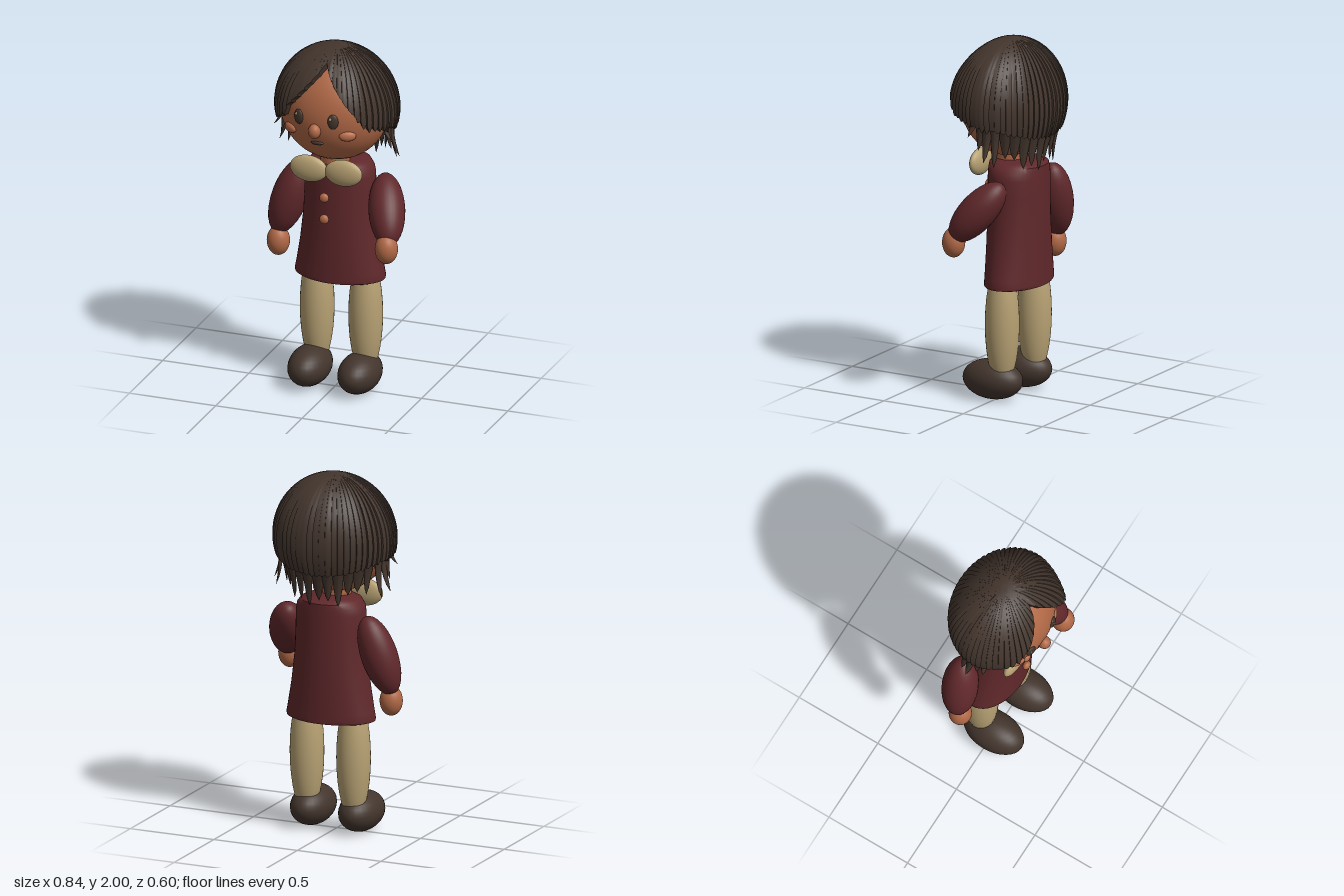
import * as THREE from 'three';
import { toCreasedNormals } from 'three/addons/utils/BufferGeometryUtils.js';

const mat = (name, color) => Object.assign(new THREE.MeshStandardMaterial({ color }), { name });

export function createModel() {
  const model = new THREE.Group();
  const skin = mat('skin', 0xb06846);
  const blush = mat('blush', 0xba6c4b);
  const jacket = mat('jacketRed', 0x60282b);
  const tan = mat('tan', 0xb8a274);
  const dark = mat('darkBrown', 0x43352d);

  let seed = 7;
  const rand = () => (seed = (seed * 16807) % 2147483647) / 2147483647;

  const add = (name, geometry, material) => {
    const mesh = new THREE.Mesh(geometry, material);
    mesh.name = name;
    model.add(mesh);
    return mesh;
  };
  const ball = (name, material, [x, y, z], [rx, ry, rz], seg = 32) => {
    const mesh = add(name, new THREE.SphereGeometry(1, seg, seg / 2), material);
    mesh.position.set(x, y, z);
    mesh.scale.set(rx, ry, rz);
    return mesh;
  };

  // Shoes and legs
  ball('rightShoe', dark, [-0.14, 0.11, 0.015], [0.113, 0.11, 0.18]);
  ball('leftShoe', dark, [0.152, 0.11, 0.022], [0.113, 0.11, 0.178]);
  ball('rightLeg', tan, [-0.132, 0.43, -0.07], [0.094, 0.36, 0.094]);
  ball('leftLeg', tan, [0.16, 0.43, -0.042], [0.094, 0.36, 0.094]);

  // Jacket body: flares sideways towards the hem, nearly constant depth
  const profile = [[0, 0.66], [0.2, 0.653], [0.24, 0.636], [0.255, 0.64], [0.257, 0.655], [0.25, 0.69],
    [0.226, 0.83], [0.206, 1], [0.199, 1.15], [0.198, 1.24], [0.19, 1.28], [0.168, 1.308], [0.13, 1.324], [0, 1.328]];
  const body = new THREE.LatheGeometry(profile.map(([r, y]) => new THREE.Vector2(r, y)), 48);
  const bp = body.attributes.position;
  for (let i = 0; i < bp.count; i++) {
    const r = Math.hypot(bp.getX(i), bp.getZ(i));
    if (r > 0.158) bp.setZ(i, bp.getZ(i) * 0.158 / r);
  }
  body.deleteAttribute('normal');
  add('jacketBody', toCreasedNormals(body, 0.8), jacket).position.set(0.008, 0, -0.057);

  const neck = add('neck', new THREE.CylinderGeometry(0.08, 0.08, 0.1, 24), skin);
  neck.position.set(0, 1.36, 0);

  // Arms: long ellipsoids pointing along a direction, each with a hand
  const arm = (side, centre, dir, length, radius, hand) => {
    const sleeve = ball(side + 'Sleeve', jacket, centre, [radius, length, radius]);
    sleeve.quaternion.setFromUnitVectors(new THREE.Vector3(0, -1, 0), new THREE.Vector3(...dir).normalize());
    ball(side + 'Hand', skin, hand, [0.063, 0.084, 0.063]);
  };
  arm('left', [0.308, 1.083, 0.025], [0.115, -0.315, 0.25], 0.21, 0.1, [0.353, 0.907, 0.148]);
  arm('right', [-0.3, 1.03, -0.1], [-0.13, -0.4, 0.04], 0.228, 0.1, [-0.355, 0.775, -0.065]);

  // Collar lobes and buttons
  for (const s of [-1, 1]) {
    const lobe = ball('collarLobe', tan, [s * 0.101 - 0.003, 1.305, 0.13], [0.108, 0.076, 0.036]);
    lobe.rotation.z = s * 0.04;
  }
  for (const y of [1.15, 1.025]) ball('button', skin, [-0.01, y, 0.143], [0.027, 0.027, 0.02], 16);

  // Head and face, features sit on the head's front surface
  const faceZ = (x, y) => 0.26 * Math.sqrt(1 - (x / 0.305) ** 2 - ((y - 1.645) / 0.3) ** 2);
  const feature = (name, material, x, y, rx, ry, rz, lift = 0) => {
    const part = ball(name, material, [x, y, faceZ(x, y) + lift], [rx, ry, rz], 20);
    part.rotation.y = Math.atan2(x * 0.7, faceZ(x, y));
  };
  ball('head', skin, [0, 1.645, 0], [0.305, 0.303, 0.26], 48);
  for (const x of [-0.12, 0.083]) {
    feature('eye', dark, x, 1.647, 0.03, 0.043, 0.014);
    feature('eyeHighlight', tan, x - 0.01, 1.665, 0.007, 0.009, 0.005, 0.014);
  }
  feature('nose', skin, -0.02, 1.582, 0.035, 0.042, 0.036, 0.008);
  feature('mouth', dark, -0.017, 1.503, 0.037, 0.012, 0.012);
  feature('cheek', blush, -0.185, 1.556, 0.047, 0.029, 0.02);
  feature('cheek', blush, 0.153, 1.56, 0.047, 0.029, 0.02);

  // Hair cap: ellipsoid shell of ridged strips, its hem parted over the forehead
  const C = { x: 0.008, y: 1.645, z: -0.01, rx: 0.347, ry: 0.352, rz: 0.288 };
  const hemTable = [[0, 1.945], [10, 1.875], [26, 1.76], [40, 1.67], [50, 1.62], [80, 1.58],
    [110, 1.555], [150, 1.5], [180, 1.485]];
  const hemY = (deg) => {
    const d = Math.abs(deg > 180 ? deg - 360 : deg);
    const k = Math.max(1, hemTable.findIndex(([a]) => a >= d));
    const [[a, ya], [b, yb]] = [hemTable[k - 1], hemTable[k]];
    return THREE.MathUtils.lerp(ya, yb, (d - a) / (b - a));
  };
  const strips = 60, perStrip = 5, rows = 22;
  const cols = strips * perStrip;
  const stripDepth = Array.from({ length: strips }, () => 0.15 + rand() * 0.85);
  const pos = [], index = [];
  for (let i = 0; i <= cols; i++) {
    const c = i % cols, strip = Math.floor(c / perStrip), u = (c % perStrip) / (perStrip - 1);
    // sawtooth strips: the last column of a strip drops to the next one's start
    const phi = (i + (u === 1 ? 0.7 : 0)) / cols * Math.PI * 2;
    const deg = c / cols * 360;
    const away = Math.min(deg, 360 - deg);
    const jag = away < 38 ? 0 : away < 100 ? 0.04 : 0.015;
    const tooth = jag * stripDepth[strip] * Math.sin(Math.PI * u);
    const end = Math.acos((hemY(deg) - tooth - C.y) / C.ry);
    // the curtains beside the parting swell forward, the left one more
    const swell = (deg < 180 ? 0.15 : 0.06) * Math.exp(-(((away - 38) / 24) ** 2));
    for (let j = 0; j <= rows + 1; j++) {
      const th = end * Math.min(j, rows) / rows;
      const groove = 0.034 * stripDepth[strip] * u * u * Math.min(1, th * th);
      const k = j > rows ? 0.82 : 1.006 - groove;
      const bulge = j > rows ? 1 : 1 + swell * Math.sin(th) ** 2;
      pos.push(C.x + C.rx * k * Math.sin(th) * Math.sin(phi),
        C.y + C.ry * k * Math.cos(th),
        C.z + C.rz * k * bulge * Math.sin(th) * Math.cos(phi));
      if (i < cols && j <= rows) {
        const a = i * (rows + 2) + j, d = a + rows + 2;
        index.push(a, a + 1, d, a + 1, d + 1, d);
      }
    }
  }
  const cap = new THREE.BufferGeometry();
  cap.setAttribute('position', new THREE.Float32BufferAttribute(pos, 3));
  cap.setIndex(index);
  add('hairCap', toCreasedNormals(cap, 0.6), dark);

  // Hanging locks below the hem: flat tapered cones, drifting in or curling out
  const lock = (deg, length, width, inward, curl) => {
    const g = new THREE.CylinderGeometry(1, 0, 1, 8, 6);
    const p = g.attributes.position;
    for (let i = 0; i < p.count; i++) {
      const t = 0.5 - p.getY(i);
      const swell = t < 1 ? Math.sqrt(1 - t) / (1 - t) : 1;
      p.setXYZ(i, p.getX(i) * width * swell, -t * length,
        p.getZ(i) * 0.014 * swell - inward * t + curl * t * t);
    }
    g.computeVertexNormals();
    const phi = THREE.MathUtils.degToRad(deg), y = hemY(deg) + 0.04;
    const f = 0.9 * Math.sqrt(1 - ((y - C.y) / C.ry) ** 2);
    const mesh = add('hairLock', g, dark);
    mesh.position.set(C.x + C.rx * f * Math.sin(phi), y, C.z + C.rz * f * Math.cos(phi));
    mesh.rotation.y = phi;
  };
  // back locks
  for (let d = 118; d <= 243; d += 12.4) {
    lock(d, 0.18 + rand() * 0.06, 0.034 + rand() * 0.01, 0.07, 0.02 + rand() * 0.02);
  }
  // side locks, some flicking outwards
  for (const s of [-1, 1]) {
    for (const [d, length, width, curl] of [[76, 0.12, 0.03, 0.08], [86, 0.18, 0.034, 0.05],
      [96, 0.23, 0.034, 0.08], [106, 0.25, 0.032, 0.06]]) {
      lock(s * d, length, width, 0.04, curl);
    }
  }
  return model;
}
